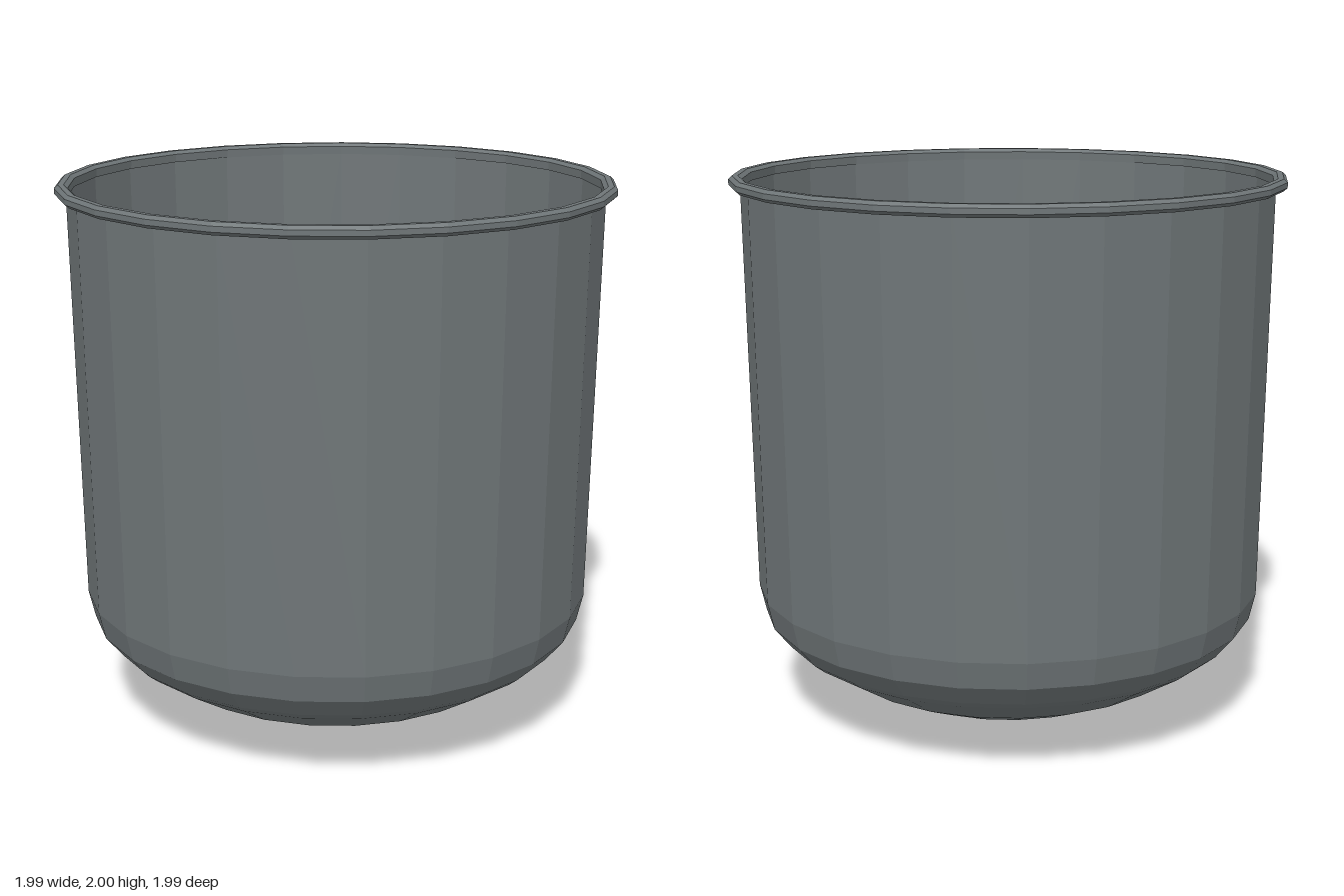
import * as THREE from 'three';

const SIDES = 25;

// Revolve a [radius, height] profile, with one corner pointing along +x.
function revolve(name, profile, material) {
  const points = profile.map(([r, y]) => new THREE.Vector2(r, y));
  const mesh = new THREE.Mesh(new THREE.LatheGeometry(points, SIDES, Math.PI / 2), material);
  mesh.name = name;
  return mesh;
}

export function createModel() {
  const group = new THREE.Group();
  group.name = 'pot';
  const metal = new THREE.MeshStandardMaterial({
    color: 0x6f7678, flatShading: true, side: THREE.DoubleSide,
  });

  // Dished base: a shallow spherical cap in even rings
  const capRadius = 1.36;
  const body = [];
  for (let i = 0; i <= 5; i++) {
    const r = 0.163 * i;
    body.push([r, capRadius - Math.sqrt(capRadius ** 2 - r ** 2)]);
  }
  // Rounded shoulder, then the slightly flaring wall
  body.push([0.85, 0.3], [0.915, 0.38], [0.938, 0.48], [0.958, 1.975]);
  group.add(revolve('body', body, metal));

  // Rolled rim
  group.add(revolve('rim', [
    [0.952, 1.957], [0.985, 1.957], [0.998, 1.969], [0.998, 1.988],
    [0.985, 2], [0.964, 2], [0.95, 1.988], [0.952, 1.957],
  ], metal));

  // An odd number of sides sits slightly off centre in x
  group.children.forEach((mesh) => { mesh.position.x = -0.004; });
  return group;
}
